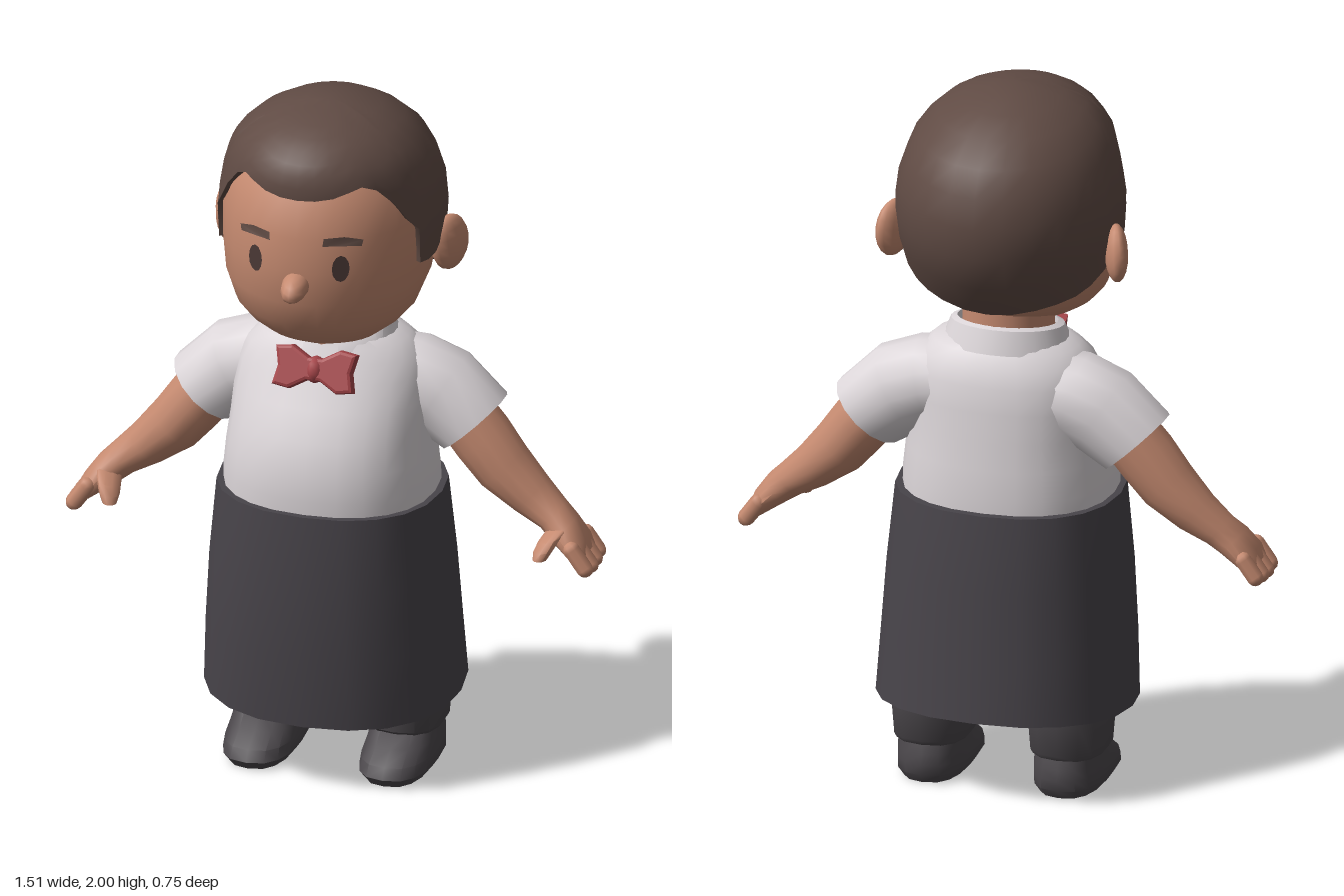
import * as THREE from 'three';
import { toCreasedNormals } from 'three/addons/utils/BufferGeometryUtils.js';

const mat = (name, color) => {
  const m = new THREE.MeshStandardMaterial({ color });
  m.name = name;
  return m;
};

// Straight-line lookup in rows sorted by their first value
function sample(rows, k) {
  let i = 0;
  while (i < rows.length - 2 && k > rows[i + 1][0]) i++;
  const a = rows[i], b = rows[i + 1];
  const t = THREE.MathUtils.clamp((k - a[0]) / (b[0] - a[0]), 0, 1);
  return a.map((v, j) => v + (b[j] - v) * t);
}

// Skin a list of rings (each a list of Vector3) into a surface
function skinRings(rings, closed = true, crease = 0.75) {
  const n = rings[0].length, pos = [], idx = [];
  rings.forEach(r => r.forEach(p => pos.push(p.x, p.y, p.z)));
  for (let v = 0; v < rings.length - 1; v++) {
    for (let u = 0; u < (closed ? n : n - 1); u++) {
      const a = v * n + u, b = v * n + (u + 1) % n;
      idx.push(a, b, b + n, a, b + n, a + n);
    }
  }
  const g = new THREE.BufferGeometry();
  g.setAttribute('position', new THREE.Float32BufferAttribute(pos, 3));
  g.setIndex(idx);
  return toCreasedNormals(g, crease);
}

// Point on a horizontal oval: row = [y, half width, z front, z back, tilt]
function ovalPoint([y, rx, zf, zb, tilt = 0], a, power = 2, cx = 0) {
  const bend = v => Math.sign(v) * Math.abs(v) ** (2 / power);
  const z = (zf + zb) / 2 + (zf - zb) / 2 * bend(Math.cos(a));
  return new THREE.Vector3(cx + rx * bend(Math.sin(a)), y + tilt * z, z);
}

function stack(rows, n, power = 2, cx = 0, crease = 0.75) {
  return skinRings(rows.map(r =>
    Array.from({ length: n }, (_, i) => ovalPoint(r, i / n * Math.PI * 2, power, cx))), true, crease);
}

// Limb rings: [x, y, z, depth radius, in-plane radius, downward angle]
function limb(rows, n = 14) {
  return skinRings(rows.map(([x, y, z, rz, rp, ang]) =>
    Array.from({ length: n }, (_, i) => {
      const a = i / n * Math.PI * 2, s = Math.sin(a) * rp;
      return new THREE.Vector3(x - Math.sin(ang) * s, y - Math.cos(ang) * s, z + Math.cos(a) * rz);
    })));
}

function mirrored(geo) {
  const g = geo.clone().scale(-1, 1, 1);
  const idx = g.index ? [...g.index.array] : [...Array(g.attributes.position.count).keys()];
  return g.setIndex(idx.reverse());
}

const HEAD = [
  [1.305, 0, 0.08, 0.08], [1.31, 0.07, 0.13, 0.02], [1.34, 0.16, 0.19, -0.08], [1.38, 0.215, 0.24, -0.17],
  [1.42, 0.25, 0.27, -0.22], [1.5, 0.28, 0.303, -0.29], [1.6, 0.293, 0.313, -0.34],
  [1.7, 0.295, 0.308, -0.355], [1.8, 0.275, 0.282, -0.335], [1.88, 0.22, 0.22, -0.27],
  [1.95, 0.1, 0.1, -0.14], [1.96, 0, 0, 0],
];
const HAIR = [
  [1.4, 0.24, 0.26, -0.235], [1.42, 0.262, 0.28, -0.255], [1.5, 0.295, 0.3, -0.32], [1.6, 0.31, 0.31, -0.362],
  [1.68, 0.314, 0.31, -0.375], [1.77, 0.302, 0.297, -0.365], [1.86, 0.272, 0.298, -0.318],
  [1.91, 0.235, 0.272, -0.262], [1.95, 0.185, 0.222, -0.2], [1.98, 0.12, 0.145, -0.13],
  [1.994, 0.06, 0.075, -0.06], [2, 0, 0.01, 0.01],
];
// Lower hair edge: [degrees from the front, height]
const HAIRLINE = [
  [0, 1.812], [10, 1.814], [20, 1.822], [30, 1.838], [37, 1.848], [45, 1.83], [53, 1.775], [60, 1.72],
  [67, 1.68], [70, 1.575], [78, 1.568], [86, 1.572], [92, 1.6], [104, 1.52], [115, 1.485],
  [125, 1.46], [137, 1.445], [150, 1.43], [165, 1.415], [180, 1.41],
];

function hairGeometry() {
  const edge = [...HAIRLINE, ...HAIRLINE.slice(1, -1).reverse().map(([a, y]) => [360 - a, y])];
  const rings = [edge.map(([a, y]) => {
    const [, rx, zf, zb] = sample(HAIR, y);
    return ovalPoint([y + 0.004, rx * 0.9, zf * 0.9, zb * 0.9], a * Math.PI / 180);
  })];
  const steps = 9;
  for (let i = 0; i <= steps; i++) {
    const t = Math.sin(i / steps * Math.PI / 2);
    rings.push(edge.map(([a, y]) => ovalPoint(sample(HAIR, y + (2 - y) * t), a * Math.PI / 180)));
  }
  return skinRings(rings, true, 0.9);
}

// Flat outline wrapped onto the face
function facePatch(points, lift) {
  const g = new THREE.ShapeGeometry(new THREE.Shape(points.map(p => new THREE.Vector2(...p))));
  const p = g.attributes.position;
  for (let i = 0; i < p.count; i++) {
    const [, rx, zf, zb] = sample(HEAD, p.getY(i));
    p.setZ(i, (zf + zb) / 2 + (zf - zb) / 2 * Math.sqrt(1 - (p.getX(i) / rx) ** 2) + lift);
  }
  g.computeVertexNormals();
  return g;
}

export function createModel() {
  const root = new THREE.Group();
  const skin = mat('skin', 0xc58a70), hair = mat('hair brown', 0x604b44), shirt = mat('shirt white', 0xdbd5d8);
  const apron = mat('apron charcoal', 0x48444a), dark = mat('trouser grey', 0x4b474b);
  const red = mat('tie red', 0xa44448), ink = mat('eye brown', 0x4a3835);
  const add = (name, geo, m) => {
    const mesh = new THREE.Mesh(geo, m);
    mesh.name = name;
    root.add(mesh);
  };
  const pair = (name, geo, m) => {
    add(name + 'Left', geo, m);
    add(name + 'Right', mirrored(geo), m);
  };

  // Head
  add('head', stack(HEAD, 32, 2, 0, 1.2), skin);
  add('hair', hairGeometry(), hair);
  add('neck', new THREE.CylinderGeometry(0.125, 0.13, 0.16, 16).translate(0, 1.31, -0.05), skin);
  add('nose', new THREE.SphereGeometry(1, 12, 8).scale(0.038, 0.036, 0.068)
    .rotateX(0.25).translate(0, 1.563, 0.312), skin);
  pair('ear', new THREE.SphereGeometry(1, 12, 10).scale(0.032, 0.082, 0.068)
    .rotateX(0.15).rotateY(-0.45).translate(0.318, 1.568, -0.08), skin);
  const eye = Array.from({ length: 12 }, (_, i) => {
    const a = i / 12 * Math.PI * 2;
    return [0.122 + 0.022 * Math.cos(a), 1.62 + 0.039 * Math.sin(a)];
  });
  pair('eye', facePatch(eye, 0.007), ink);
  pair('eyebrow', facePatch([[0.075, 1.688], [0.12, 1.688], [0.172, 1.682], [0.176, 1.7],
    [0.13, 1.713], [0.078, 1.71]], 0.009), hair);

  // Shirt body and sleeves
  add('shirtBody', stack([
    [0.8, 0.295, 0.235, -0.285], [0.88, 0.295, 0.24, -0.285], [0.96, 0.287, 0.232, -0.275],
    [1.04, 0.278, 0.207, -0.265], [1.12, 0.275, 0.165, -0.255], [1.19, 0.268, 0.125, -0.245],
    [1.24, 0.245, 0.1, -0.225], [1.275, 0.205, 0.082, -0.205], [1.3, 0.15, 0.07, -0.185], [1.3, 0, -0.05, -0.05],
  ], 24, 2.3), shirt);
  pair('sleeve', limb([
    [0.14, 1.15, -0.09, 0.12, 0.12, 0.1], [0.21, 1.14, -0.095, 0.125, 0.128, 0.25],
    [0.29, 1.108, -0.1, 0.12, 0.132, 0.55], [0.385, 1.03, -0.1, 0.117, 0.117, 0.82],
    [0.38, 1.035, -0.1, 0.098, 0.098, 0.82], [0.34, 1.075, -0.1, 0.09, 0.09, 0.82], [0.34, 1.075, -0.1, 0, 0, 0.82],
  ]), shirt);

  // Folded collar, open at the front
  const collar = [[1.265, 0.165, 0.075, -0.185], [1.25, 0.185, 0.108, -0.212],
    [1.318, 0.158, 0.078, -0.19], [1.325, 0.14, 0.062, -0.175], [1.265, 0.135, 0.058, -0.17]];
  add('collar', skinRings(collar.map(r => Array.from({ length: 25 }, (_, i) =>
    ovalPoint([...r, -0.13], 0.3 + i / 24 * (Math.PI * 2 - 0.6)))), false), shirt);

  // Bow tie
  const bow = new THREE.Shape([[-0.105, -0.045], [-0.07, -0.05], [-0.022, -0.022], [0.022, -0.022],
    [0.07, -0.05], [0.105, -0.045], [0.095, 0], [0.105, 0.045], [0.07, 0.05], [0.022, 0.022],
    [-0.022, 0.022], [-0.07, 0.05], [-0.105, 0.045], [-0.095, 0]].map(p => new THREE.Vector2(...p)));
  const place = g => g.rotateX(-0.4).translate(0, 1.23, 0.128);
  add('bowTie', place(new THREE.ExtrudeGeometry(bow, {
    depth: 0.02, bevelSize: 0.01, bevelThickness: 0.012, bevelSegments: 2,
  }).translate(0, 0, -0.01)), red);
  add('bowTieKnot', place(new THREE.SphereGeometry(1, 10, 8).scale(0.027, 0.038, 0.032)), red);

  // Long apron, hollow underneath
  add('apron', stack([
    [0.42, 0, -0.04, -0.04], [0.4, 0.31, 0.23, -0.31], [0.228, 0.345, 0.242, -0.355, -0.072],
    [0.228, 0.358, 0.256, -0.372, -0.072], [0.42, 0.348, 0.268, -0.352],
    [0.62, 0.335, 0.27, -0.335], [0.84, 0.314, 0.256, -0.308], [0.84, 0.285, 0.225, -0.275],
  ], 20, 2.3), apron);

  // Arms and hands
  pair('arm', limb([
    [0.33, 1.08, -0.095, 0.085, 0.085, 0.82], [0.41, 0.985, -0.092, 0.085, 0.088, 0.85],
    [0.47, 0.91, -0.09, 0.082, 0.082, 0.82], [0.55, 0.838, -0.088, 0.07, 0.064, 0.75],
    [0.615, 0.79, -0.08, 0.058, 0.05, 0.72], [0.65, 0.76, -0.068, 0.068, 0.046, 0.8],
    [0.69, 0.72, -0.06, 0.08, 0.036, 0.88], [0.71, 0.695, -0.06, 0.075, 0.026, 0.9], [0.71, 0.695, -0.06, 0, 0, 0.9],
  ]), skin);
  for (let i = 0; i < 4; i++) {
    const z = -0.122 + i * 0.042, len = [0.058, 0.07, 0.074, 0.064][i];
    pair('finger' + (i + 1), new THREE.CapsuleGeometry(0.024, len, 3, 8)
      .rotateZ(0.62).translate(0.712, 0.702, z), skin);
  }
  pair('thumb', limb([
    [0.645, 0.775, -0.05, 0.04, 0.035, 1.3], [0.632, 0.755, 0.0, 0.042, 0.034, 1.3],
    [0.622, 0.73, 0.03, 0.034, 0.029, 1.4], [0.616, 0.708, 0.047, 0.022, 0.02, 1.5], [0.616, 0.702, 0.05, 0, 0, 1.5],
  ], 10), skin);

  // Trouser legs and shoes
  pair('trouserLeg', stack([
    [0.13, 0, -0.09, -0.09], [0.112, 0.1, 0.025, -0.222], [0.125, 0.107, 0.04, -0.23], [0.22, 0.115, 0.045, -0.235],
    [0.42, 0.125, 0.07, -0.24],
  ], 14, 2.6, 0.195), dark);
  pair('shoe', stack([
    [0, 0, -0.04, -0.04], [0, 0.085, 0.125, -0.215], [0.025, 0.102, 0.143, -0.23], [0.055, 0.1, 0.125, -0.232],
    [0.085, 0.096, 0.065, -0.226], [0.13, 0.09, 0.01, -0.21], [0.13, 0, -0.1, -0.1],
  ], 16, 2.6, 0.195), dark);

  return root;
}
